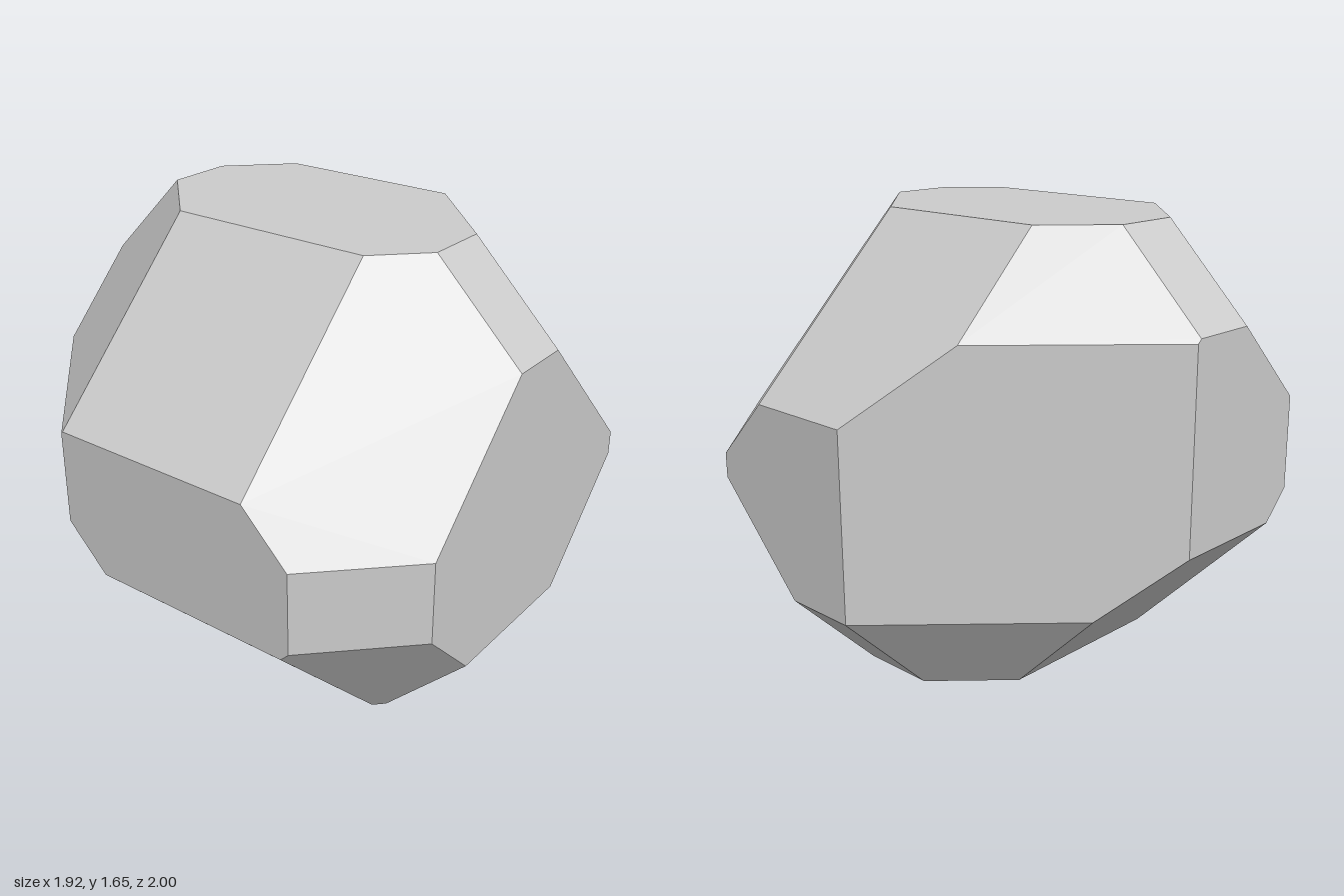
import * as THREE from 'three';

// Facet planes of the stone: [nx, ny, nz, d] meaning n . p <= d
const PLANES = [
  // six flat sides
  [1, 0, 0, 0.96], [-1, 0, 0, 0.96],
  [0, 1, 0, 1.655], [0, -1, 0, 0],
  [0, 0, 1, 1], [0, 0, -1, 1],
  // twelve edge bevels
  [1, 1, 0, 2.28], [-1, 1, 0, 2.285], [1, -1, 0, 0.64], [-1, -1, 0, 0.39],
  [0, 1, 1, 2.03], [0, 1, -1, 2.035], [0, -1, 1, 0.485], [0, -1, -1, 0.655],
  [1, 0, 1, 1.635], [-1, 0, 1, 1.35], [1, 0, -1, 1.51], [-1, 0, -1, 1.145],
  // eight corner cuts
  [1, 1, 1, 2.485], [-1, 1, 1, 2.373], [1, -1, 1, 1.088], [-1, -1, 1, 0.673],
  [1, 1, -1, 2.318], [-1, 1, -1, 2.455], [1, -1, -1, 0.793], [-1, -1, -1, 0.8],
].map(([x, y, z, d]) => ({ n: new THREE.Vector3(x, y, z), d }));

// Point shared by three planes, or null when they do not meet in one point
function meet(a, b, c) {
  const bc = b.n.clone().cross(c.n);
  const det = a.n.dot(bc);
  if (Math.abs(det) < 1e-6) return null;
  return bc.multiplyScalar(a.d)
    .addScaledVector(c.n.clone().cross(a.n), b.d)
    .addScaledVector(a.n.clone().cross(b.n), c.d)
    .divideScalar(det);
}

// Corners of one facet, in counter-clockwise order seen from outside
function facetCorners(plane) {
  const corners = [];
  for (let i = 0; i < PLANES.length; i++) {
    for (let j = i + 1; j < PLANES.length; j++) {
      const p = meet(plane, PLANES[i], PLANES[j]);
      if (!p || PLANES.some((q) => q.n.dot(p) > q.d + 1e-5)) continue;
      if (!corners.some((q) => q.distanceTo(p) < 1e-4)) corners.push(p);
    }
  }
  if (corners.length < 3) return [];
  const centre = new THREE.Vector3();
  corners.forEach((p) => centre.addScaledVector(p, 1 / corners.length));
  const normal = plane.n.clone().normalize();
  const u = corners[0].clone().sub(centre).normalize();
  const v = normal.clone().cross(u);
  const angle = (p) => {
    const r = p.clone().sub(centre);
    return Math.atan2(r.dot(v), r.dot(u));
  };
  return corners.sort((a, b) => angle(a) - angle(b));
}

export function createModel() {
  const positions = [];
  for (const plane of PLANES) {
    const c = facetCorners(plane);
    for (let i = 1; i < c.length - 1; i++) {
      for (const p of [c[0], c[i], c[i + 1]]) positions.push(p.x, p.y, p.z);
    }
  }
  const geometry = new THREE.BufferGeometry();
  geometry.setAttribute('position', new THREE.Float32BufferAttribute(positions, 3));
  geometry.computeVertexNormals();

  const stone = new THREE.Mesh(
    geometry,
    new THREE.MeshStandardMaterial({ color: 0xcccccc, flatShading: true })
  );
  stone.name = 'facetedStone';

  const group = new THREE.Group();
  group.name = 'stone';
  group.add(stone);
  return group;
}
